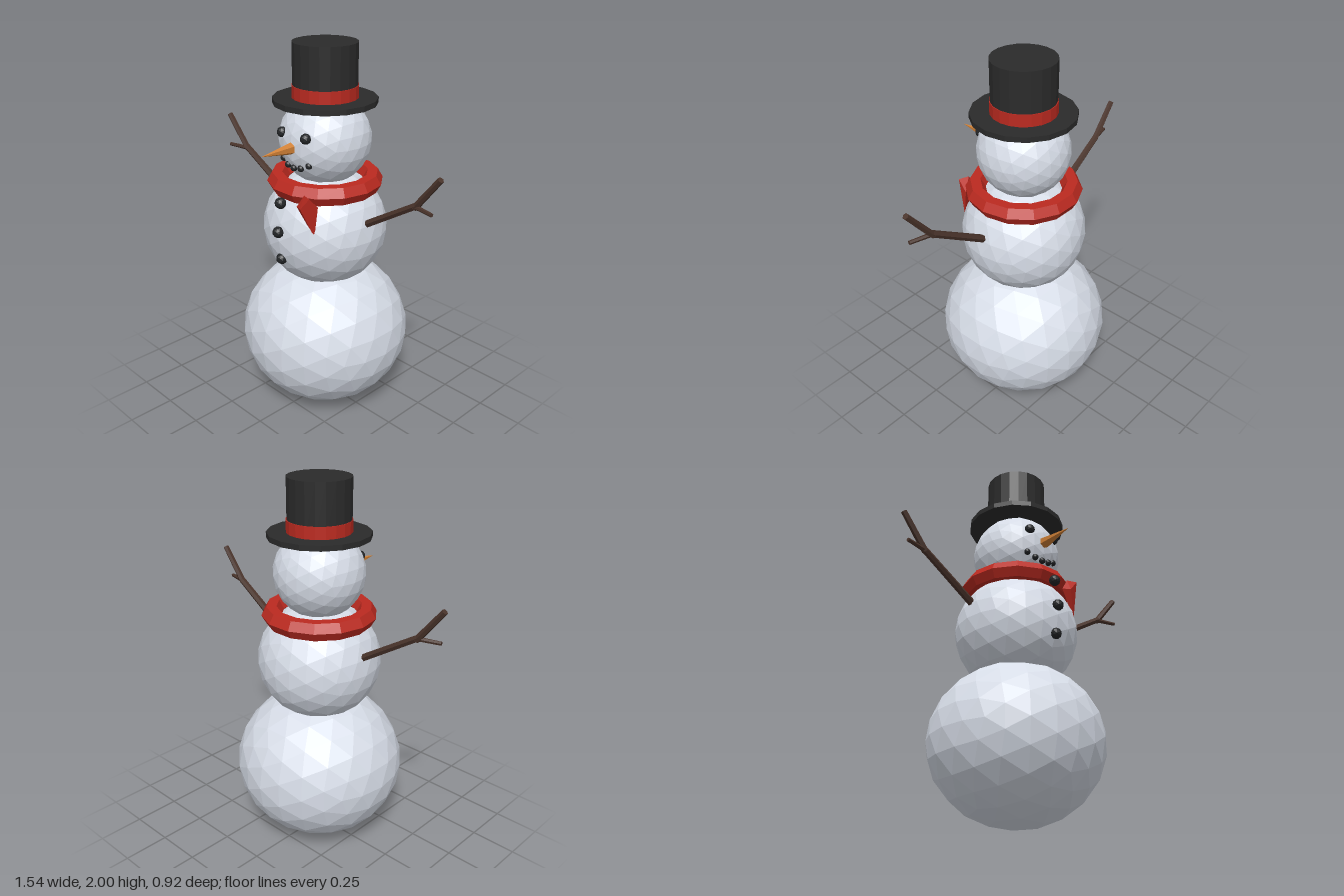
import * as THREE from 'three';
import { ConvexGeometry } from 'three/addons/geometries/ConvexGeometry.js';

const flat = (name, color) => {
  const m = new THREE.MeshStandardMaterial({ color, flatShading: true });
  m.name = name;
  return m;
};

export function createModel() {
  const snow = flat('snow', 0xdde3ee);
  const felt = flat('black felt', 0x2b2b2b);
  const red = flat('red wool', 0xbb2a20);
  const wood = flat('dark wood', 0x4a342b);
  const carrot = flat('carrot orange', 0xd08035);
  const coal = flat('coal', 0x232527);

  const model = new THREE.Group();
  model.name = 'snowman';

  function add(name, geometry, material, x = 0, y = 0, z = 0, parent = model) {
    const mesh = new THREE.Mesh(geometry, material);
    mesh.name = name;
    mesh.position.set(x, y, z);
    parent.add(mesh);
    return mesh;
  }

  // Three faceted snowballs, the lowest slightly squashed
  const ball = (name, r, ry, y) =>
    add(name, new THREE.IcosahedronGeometry(1, 3), snow, 0, y).scale.set(r, ry, r);
  ball('baseBall', 0.458, 0.42, 0.42);
  ball('middleBall', 0.33, 0.32, 1.035);
  ball('head', 0.24, 0.235, 1.51);

  // Eyes, mouth and buttons
  const lump = (name, r, x, y, z) => add(name, new THREE.IcosahedronGeometry(r, 1), coal, x, y, z);
  for (const s of [-1, 1]) lump(s > 0 ? 'leftEye' : 'rightEye', 0.028, s * 0.085, 1.57, 0.215);
  for (let i = -2; i <= 2; i++) {
    lump('mouthCoal', 0.018, i * 0.046, 1.403 + 0.007 * i * i, 0.217 - 0.004 * i * i);
  }
  [[1.24, 0.312], [1.087, 0.332], [0.933, 0.312]].forEach(([y, z]) => lump('button', 0.03, 0, y, z));

  // Carrot nose
  add('nose', new THREE.ConeGeometry(0.036, 0.22, 6), carrot, 0, 1.508, 0.317).rotation.x = Math.PI / 2;

  // Top hat
  const hat = new THREE.Group();
  hat.name = 'topHat';
  model.add(hat);
  add('brim', new THREE.CylinderGeometry(0.267, 0.267, 0.028, 16), felt, 0, 1.712, 0, hat);
  add('crown', new THREE.CylinderGeometry(0.165, 0.165, 0.28, 20), felt, 0, 1.86, 0, hat);
  add('hatBand', new THREE.CylinderGeometry(0.169, 0.169, 0.065, 20), red, 0, 1.757, 0, hat);

  // Scarf ring and its hanging end
  add('scarf', new THREE.TorusGeometry(0.25, 0.053, 6, 14), red, 0, 1.292).rotation.x = Math.PI / 2;
  const tail = [
    [0.185, 1.094, 0.255], [0.085, 1.236, 0.28], [0.13, 1.306, 0.27],
    [0.185, 1.306, 0.288], [0.19, 1.25, 0.235], [0.13, 1.24, 0.298],
  ].map(p => new THREE.Vector3(...p));
  add('scarfEnd', new ConvexGeometry(tail), red);

  // Stick arms: a limb, a bent tip and a twig, mirrored
  function stick(name, a, b, r0, r1, parent) {
    const from = new THREE.Vector3(...a), to = new THREE.Vector3(...b);
    const dir = to.clone().sub(from);
    const mesh = add(name, new THREE.CylinderGeometry(r1, r0, dir.length(), 6), wood, 0, 0, 0, parent);
    mesh.position.copy(from).add(to).multiplyScalar(0.5);
    mesh.quaternion.setFromUnitVectors(new THREE.Vector3(0, 1, 0), dir.normalize());
  }
  for (const s of [-1, 1]) {
    const arm = new THREE.Group();
    arm.name = s > 0 ? 'leftArm' : 'rightArm';
    model.add(arm);
    stick('limb', [s * 0.25, 1.095, 0], [s * 0.625, 1.325, 0.016], 0.021, 0.018, arm);
    stick('tip', [s * 0.615, 1.312, 0.016], [s * 0.76, 1.49, 0.022], 0.018, 0.016, arm);
    stick('twig', [s * 0.61, 1.318, 0.016], [s * 0.738, 1.32, 0.045], 0.012, 0.01, arm);
  }
  return model;
}
